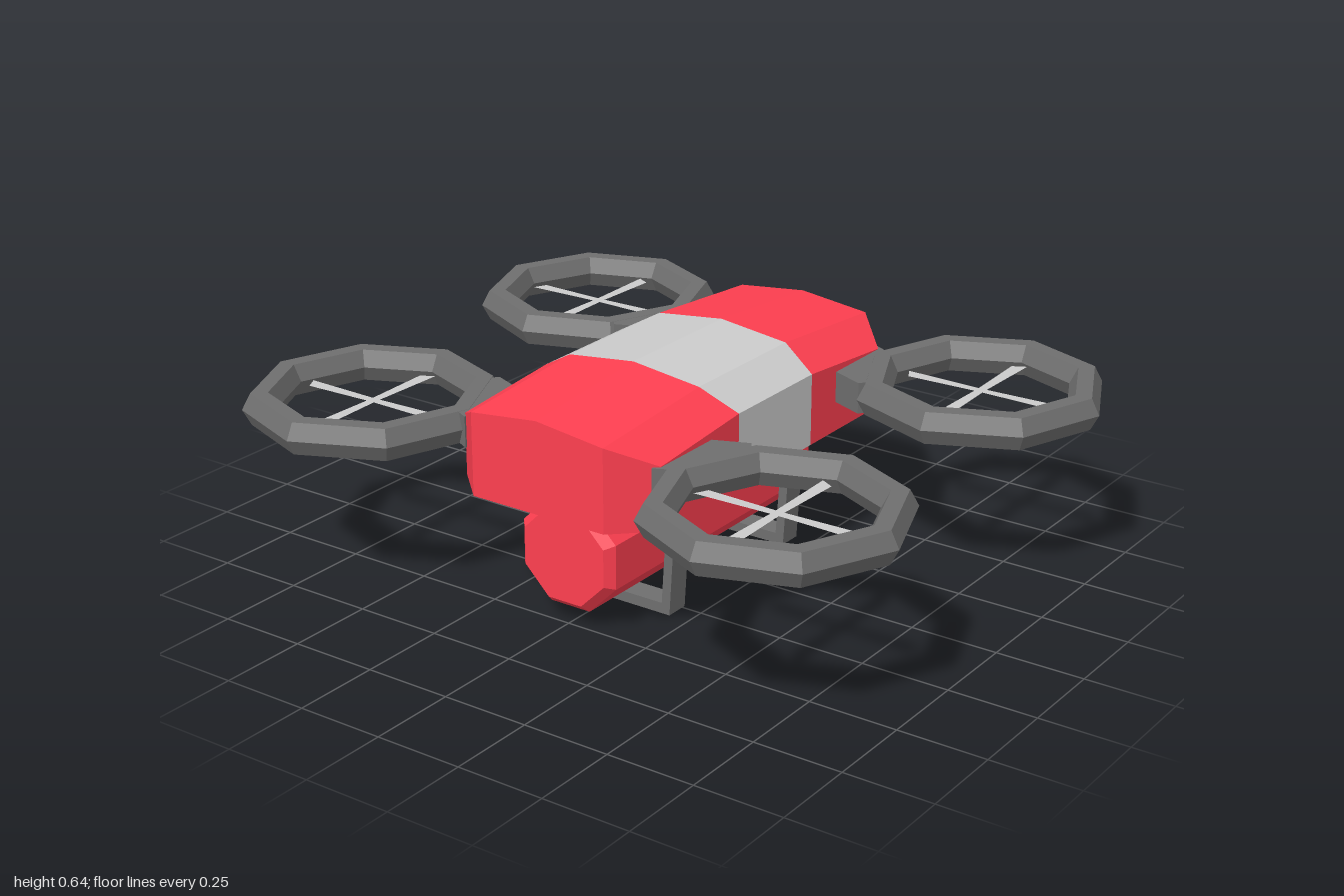
import * as THREE from 'three';

const paint = (color) => new THREE.MeshStandardMaterial({ color, flatShading: true, side: THREE.DoubleSide });

// One hull cross-section: the outer columns sit at zOuter, the inner ones at zInner.
function hullSection(zInner, zOuter, shoulder, edge, crown) {
  const b = 0.355, w = 0.315, n = 0.21;
  return [
    [w, b], [w, shoulder], [n, edge], [0, crown], [-n, edge],
    [-w, shoulder], [-w, b], [-n, b], [n, b],
  ].map(([x, y]) => [x, y, Math.abs(x) === w ? zOuter : zInner]);
}

// Skin between two sections (back to front), with optional faceted end caps.
function hullGeometry(back, front, capBack, capFront) {
  const pos = [];
  const poly = (...p) => {
    for (let i = 1; i < p.length - 1; i++) pos.push(...p[0], ...p[i], ...p[i + 1]);
  };
  back.forEach((p, i) => {
    const j = (i + 1) % back.length;
    poly(p, back[j], front[j], front[i]);
  });
  for (const face of [[8, 0, 1, 2], [7, 8, 2, 3, 4], [6, 7, 4, 5]]) {
    if (capFront) poly(...face.map((i) => front[i]));
    if (capBack) poly(...face.map((i) => back[i]).reverse());
  }
  const g = new THREE.BufferGeometry();
  g.setAttribute('position', new THREE.Float32BufferAttribute(pos, 3));
  g.computeVertexNormals();
  return g;
}

const shapeOf = (pts) => new THREE.Shape(pts.map(([x, y]) => new THREE.Vector2(x, y)));

export function createModel() {
  const model = new THREE.Group();
  const red = paint(0xff3f50), dark = paint(0x6e6e6e), grey = paint(0xcccccc);
  const add = (parent, name, geometry, material) => {
    const mesh = new THREE.Mesh(geometry, material);
    mesh.name = name;
    parent.add(mesh);
    return mesh;
  };

  // Hull: red nose and tail with a grey band between
  const end = (s) => hullSection(0.62 * s, 0.52 * s, 0.53, 0.588, 0.612);
  const band = (s) => hullSection(0.205 * s, 0.175 * s, 0.56, 0.62, 0.645);
  add(model, 'hullFront', hullGeometry(band(1), end(1), false, true), red);
  add(model, 'hullBand', hullGeometry(band(-1), band(1), false, false), grey);
  add(model, 'hullRear', hullGeometry(end(-1), band(-1), true, false), red);

  // Rotors: octagonal guard ring, arm plate and four thin blades, mirrored to each corner
  const cx = 0.65, cz = 0.505, cy = 0.485;
  const ring = new THREE.TorusGeometry(0.3025, 0.0475, 6, 8);
  ring.scale(1, 1, 1.09).rotateX(Math.PI / 2);
  const arm = new THREE.ExtrudeGeometry(
    shapeOf([[0.3, 0.54], [0.3, 0.305], [0.41, 0.26], [0.44, 0.3], [0.36, 0.51]]),
    { depth: 0.088, bevelEnabled: false },
  );
  arm.rotateX(Math.PI / 2).translate(0, cy + 0.044, 0);
  const blade = new THREE.ShapeGeometry(
    shapeOf([[0, -0.012], [0.215, -0.02], [0.235, 0.018], [0, 0.012]]),
  );
  blade.rotateX(-Math.PI / 2);

  for (const sx of [1, -1]) {
    for (const sz of [1, -1]) {
      const rotor = new THREE.Group();
      rotor.name = (sz > 0 ? 'front' : 'rear') + (sx > 0 ? 'Left' : 'Right') + 'Rotor';
      rotor.scale.set(sx, 1, sz);
      model.add(rotor);
      const guard = add(rotor, 'guardRing', ring, dark);
      guard.position.set(cx, cy, cz);
      guard.rotation.y = -0.04;
      add(rotor, 'arm', arm, dark);
      for (let i = 0; i < 4; i++) {
        const b = add(rotor, 'blade', blade, grey);
        b.position.set(cx, cy, cz);
        b.rotation.y = i * Math.PI / 2;
      }
    }
  }

  // Tank slung under the hull, with neck and cap at the rear
  const turned = (profile) => {
    const g = new THREE.LatheGeometry(
      profile.map(([r, z]) => new THREE.Vector2(r / Math.cos(Math.PI / 8), z)), 8, Math.PI / 8,
    );
    return g.rotateX(Math.PI / 2).translate(0, 0.197, 0);
  };
  add(model, 'tank', turned([
    [0, -0.455], [0.128, -0.455], [0.15, -0.43], [0.15, 0.49], [0.128, 0.515], [0, 0.515],
  ]), red);
  add(model, 'tankNeck', turned([[0.055, -0.5], [0.055, -0.45]]), red);
  add(model, 'tankCap', turned([[0, -0.54], [0.067, -0.54], [0.067, -0.497], [0, -0.497]]), dark);

  // Two bracket legs around the tank
  const outer = [[0.19, 0], [0.205, 0.235], [0.12, 0.36]];
  const inner = [[0.165, 0.03], [0.178, 0.23], [0.09, 0.36]];
  const flip = (pts) => pts.map(([x, y]) => [-x, y]);
  const bracket = new THREE.ExtrudeGeometry(
    shapeOf([...outer, ...inner.slice().reverse(), ...flip(inner), ...flip(outer).reverse()]),
    { depth: 0.07, bevelEnabled: false },
  );
  for (const z of [0.275, -0.275]) {
    add(model, z > 0 ? 'frontBracket' : 'rearBracket', bracket, dark).position.z = z - 0.035;
  }
  return model;
}
